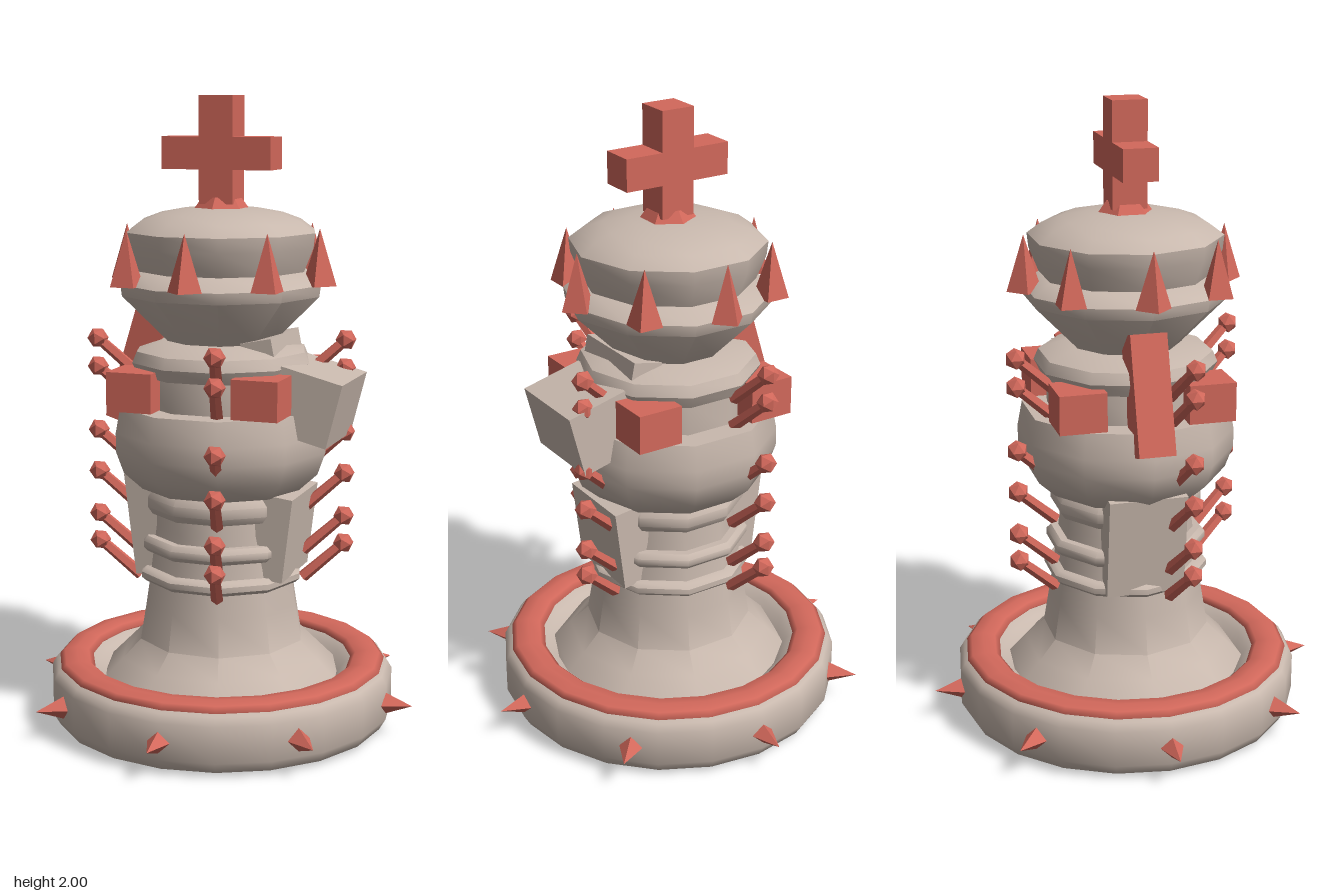
import * as THREE from 'three';
import { toCreasedNormals } from 'three/addons/utils/BufferGeometryUtils.js';

export function createModel() {
  const model = new THREE.Group();
  const stone = new THREE.MeshStandardMaterial({ color: 0xc8b8ad });
  stone.name = 'stone';
  const red = new THREE.MeshStandardMaterial({ color: 0xd2685b });
  red.name = 'red';

  const add = (name, geometry, material, pos = [0, 0, 0], rot = [0, 0, 0]) => {
    const mesh = new THREE.Mesh(geometry, material);
    mesh.name = name;
    mesh.position.set(...pos);
    mesh.rotation.set(...rot);
    model.add(mesh);
    return mesh;
  };
  // Turned part, smooth except at sharp edges
  const turned = (name, profile, sides = 10, start = Math.PI / 10) => {
    const points = profile.map(([r, y]) => new THREE.Vector2(r, y));
    add(name, toCreasedNormals(new THREE.LatheGeometry(points, sides, start), 0.8), stone);
  };
  const faceted = (geometry) => {
    const flat = geometry.index ? geometry.toNonIndexed() : geometry;
    flat.computeVertexNormals();
    return flat;
  };
  const box = (name, size, material, pos, rot) =>
    add(name, new THREE.BoxGeometry(...size), material, pos, rot);

  // Rounded base with a hollow top and a flattened ring on it
  turned('base', [[0, 0], [0.5, 0], [0.535, 0.015], [0.555, 0.05], [0.555, 0.165],
    [0.54, 0.19], [0.51, 0.205], [0.45, 0.205], [0.4, 0.18], [0.36, 0.13], [0.2, 0.12]], 20, 0);
  const ring = add('baseRing', new THREE.TorusGeometry(0.475, 0.055, 8, 20), red,
    [0, 0.2, 0], [Math.PI / 2, 0, 0]);
  ring.scale.z = 0.4;

  // Flared stem, its three bands, the bulb and the collar
  turned('stem', [[0.41, 0.13], [0.385, 0.165], [0.33, 0.22], [0.27, 0.28], [0.25, 0.4],
    [0.235, 0.5], [0.215, 0.65], [0.21, 0.8]]);
  for (const [y, r, h] of [[0.495, 0.265, 0.022], [0.595, 0.258, 0.025], [0.73, 0.243, 0.038]]) {
    turned('band', [[0.18, y - h], [r - 0.015, y - h], [r, y - h * 0.4], [r, y + h * 0.4],
      [r - 0.015, y + h], [0.18, y + h]]);
  }
  turned('bulb', [[0.2, 0.76], [0.26, 0.775], [0.32, 0.83], [0.345, 0.9], [0.345, 0.96],
    [0.33, 1.04], [0.2, 1.04]]);
  turned('neck', [[0.25, 1.03], [0.25, 1.14]]);
  turned('collar', [[0.2, 1.13], [0.27, 1.14], [0.29, 1.18], [0.275, 1.215], [0.19, 1.245], [0.1, 1.245]]);

  // Cup and domed head
  turned('cup', [[0.165, 1.23], [0.18, 1.25], [0.32, 1.39], [0.325, 1.425], [0.27, 1.465], [0.1, 1.465]]);
  turned('dome', [[0.2, 1.45], [0.27, 1.465], [0.3, 1.54], [0.305, 1.585], [0.26, 1.618],
    [0.2, 1.64], [0.12, 1.655], [0, 1.66]]);

  // Cross on its six-sided foot
  add('crossFoot', faceted(new THREE.CylinderGeometry(0.06, 0.09, 0.04, 6)), red, [0, 1.67, 0]);
  box('crossUpright', [0.11, 0.33, 0.11], red, [0, 1.835, 0]);
  box('crossBar', [0.356, 0.1, 0.11], red, [0, 1.825, 0]);

  // Eight upright spikes round the head and eight radial spikes round the base
  const crownSpike = faceted(new THREE.ConeGeometry(0.055, 0.175, 4));
  const baseSpike = faceted(new THREE.ConeGeometry(0.05, 0.125, 4));
  baseSpike.rotateX(Math.PI / 2);
  for (let i = 0; i < 8; i++) {
    const a = (i * Math.PI) / 4;
    const s = Math.sin(a), c = Math.cos(a);
    add('crownSpike', crownSpike, red, [0.32 * s, 1.5125, 0.32 * c], [0, a, 0]);
    add('baseSpike', baseSpike, red, [0.578 * s, 0.105, 0.578 * c], [0, a, 0]);
  }

  // Blocks at the four corners above the bulb
  for (const sx of [-1, 1]) {
    for (const sz of [-1, 1]) {
      box('cornerBlock', [0.148, 0.123, 0.148], red, [0.203 * sx, 1.104, 0.203 * sz]);
    }
  }

  // Four columns of knobs, each on a rod sloping up and out
  const knob = faceted(new THREE.IcosahedronGeometry(0.034, 0));
  const lean = Math.atan2(0.13, 0.115);
  const rod = faceted(new THREE.CylinderGeometry(0.017, 0.02, Math.hypot(0.13, 0.115), 5));
  rod.rotateX(lean);
  for (let i = 0; i < 4; i++) {
    const a = 0.298 + (i * Math.PI) / 2;
    const s = Math.sin(a), c = Math.cos(a);
    for (const y of [0.585, 0.675, 0.815, 0.95, 1.155, 1.245]) {
      add('knob', knob, red, [0.392 * s, y, 0.392 * c]);
      add('knobRod', rod, red, [0.327 * s, y - 0.0575, 0.327 * c], [0, a, 0]);
    }
  }

  // Tilted slabs on the two sides
  box('leftSlab', [0.2, 0.205, 0.28], stone, [0.315, 1.067, 0], [0, 0, -0.25]);
  box('upperLeftSlab', [0.1, 0.2, 0.28], stone, [0.18, 1.165, 0], [0, 0, 0.2]);
  box('lowerLeftSlab', [0.11, 0.27, 0.27], stone, [0.21, 0.645, 0], [0, 0, -0.12]);
  box('lowerRightSlab', [0.11, 0.33, 0.25], stone, [-0.212, 0.655, 0], [0, 0, 0.12]);
  box('redRightSlab', [0.11, 0.37, 0.115], red, [-0.27, 1.145, 0], [0, 0, -0.3]);

  return model;
}
